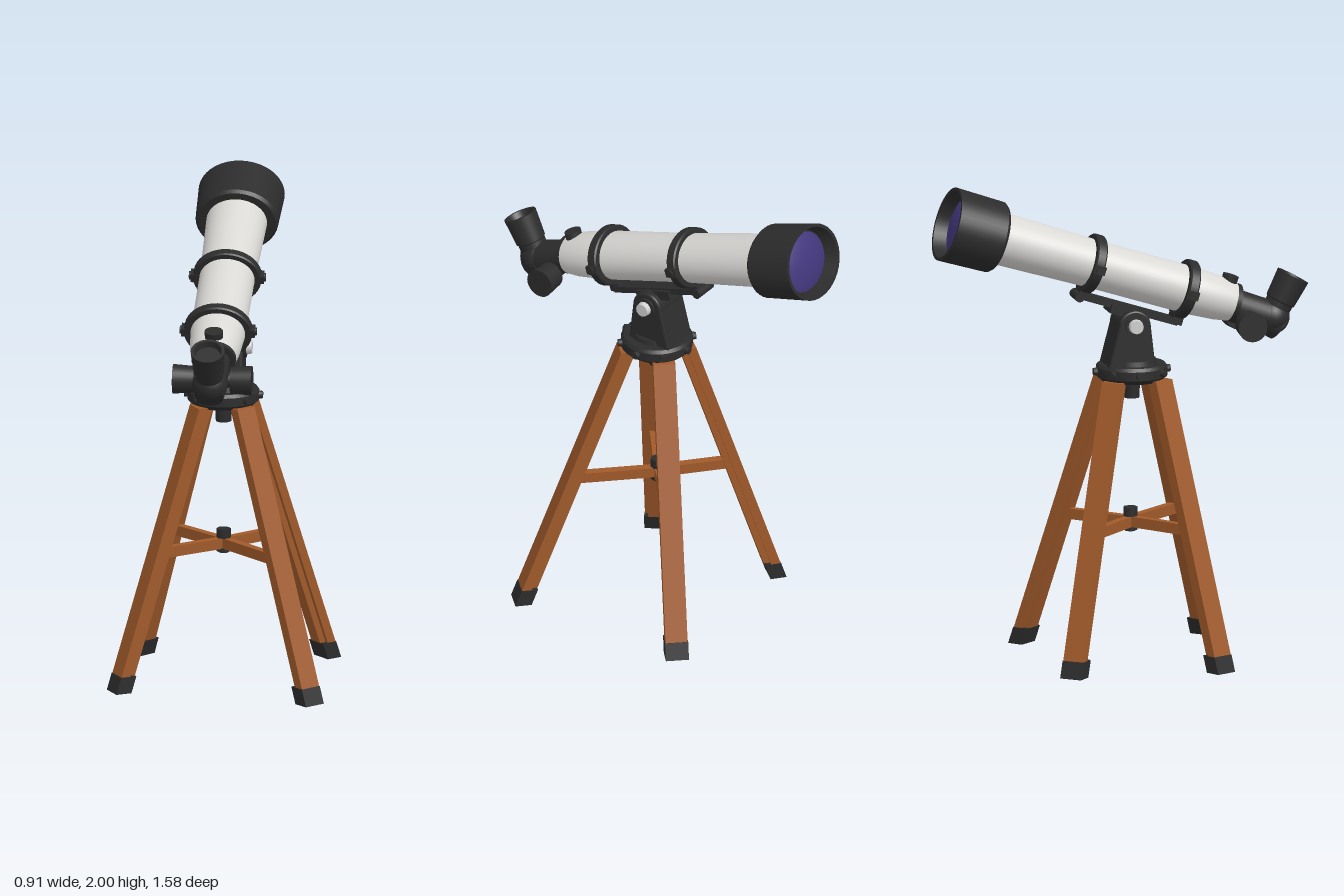
import * as THREE from 'three';

const mat = (name, color, double) => {
  const m = new THREE.MeshStandardMaterial({ color });
  m.name = name;
  if (double) m.side = THREE.DoubleSide;
  return m;
};

export function createModel() {
  const black = mat('black', 0x2c2c2d, true);
  const white = mat('white', 0xdad8d5, true);
  const wood = mat('wood', 0xa05a2a);
  const lensBlue = mat('lens violet', 0x43387e);
  const silver = mat('silver', 0xcfcfcf);
  const model = new THREE.Group();
  const V = (x, y, z) => new THREE.Vector3(x, y, z);

  const add = (parent, name, geo, material, x = 0, y = 0, z = 0) => {
    const mesh = new THREE.Mesh(geo, material);
    mesh.name = name;
    mesh.position.set(x, y, z);
    parent.add(mesh);
    return mesh;
  };
  // Lathe from [radius, height] pairs; each segment keeps its own normals for crisp edges
  const lathe = (parent, name, pts, material) => {
    const group = new THREE.Group();
    group.name = name;
    for (let i = 0; i < pts.length - 1; i++) {
      const seg = [pts[i], pts[i + 1]].map(p => new THREE.Vector2(...p));
      add(group, name + 'Band', new THREE.LatheGeometry(seg, 40), material);
    }
    parent.add(group);
    return group;
  };
  // Cylinder running from a to b
  const rod = (parent, name, a, b, ra, rb, material, sides = 28) => {
    const d = b.clone().sub(a);
    const mesh = add(parent, name, new THREE.CylinderGeometry(rb, ra, d.length(), sides), material);
    mesh.position.copy(a).add(b).multiplyScalar(0.5);
    mesh.quaternion.setFromUnitVectors(V(0, 1, 0), d.normalize());
    return mesh;
  };

  // ---- Optical tube: local y points forward along the axis, local z points up ----
  const tilt = 0.309;
  const scope = new THREE.Group();
  scope.name = 'opticalTube';
  scope.position.set(0, 1.615, 0);
  scope.rotation.x = tilt - Math.PI / 2;
  scope.scale.x = 1.15;
  model.add(scope);

  const tubePts = [[0.078, -0.49], [0.09, -0.42], [0.098, -0.3], [0.099, 0.1], [0.103, 0.3], [0.11, 0.6]];
  add(scope, 'mainTube', new THREE.LatheGeometry(tubePts.map(p => new THREE.Vector2(...p)), 40), white);
  lathe(scope, 'dewShield', [[0.1, 0.565], [0.138, 0.565], [0.149, 0.578], [0.155, 0.79],
    [0.142, 0.79], [0.128, 0.735], [0, 0.735]], black);
  add(scope, 'lens', new THREE.SphereGeometry(0.3, 36, 8, 0, Math.PI * 2, 0, 0.42), lensBlue, 0, 0.465, 0);
  lathe(scope, 'tubeEnd', [[0, -0.495], [0.079, -0.495], [0.081, -0.475], [0.07, -0.475]], black);

  // Clamp rings with side bolts and feet
  for (const s of [-0.268, 0.147]) {
    lathe(scope, 'clampRing', [[0.096, s - 0.022], [0.118, s - 0.022], [0.123, s - 0.016],
      [0.123, s + 0.016], [0.118, s + 0.022], [0.096, s + 0.022]], black);
    for (const side of [-1, 1]) {
      rod(scope, 'ringBolt', V(side * 0.11, s, 0), V(side * 0.138, s, 0), 0.017, 0.017, black, 12);
      add(scope, 'ringHinge', new THREE.BoxGeometry(0.02, 0.05, 0.035), black, side * 0.122, s, 0);
    }
    add(scope, 'ringFoot', new THREE.BoxGeometry(0.07, 0.044, 0.05), black, 0, s, -0.122);
  }
  // Dovetail bar and its clamp
  add(scope, 'dovetailBar', new THREE.BoxGeometry(0.075, 0.44, 0.026), black, 0, -0.05, -0.138);
  add(scope, 'saddle', new THREE.BoxGeometry(0.1, 0.17, 0.04), black, 0, -0.06, -0.152);
  rod(scope, 'barStop', V(-0.045, 0.165, -0.143), V(0.045, 0.165, -0.143), 0.02, 0.02, black, 16);
  // Small lock knob on top of the tube
  rod(scope, 'lockKnob', V(0, -0.44, 0.07), V(0, -0.44, 0.107), 0.033, 0.033, black, 20);

  // ---- Focuser, elbow and eyepiece ----
  const elbow = V(0, 1.4, 0.625);
  rod(model, 'drawTube', V(0, 1.455, 0.46), V(0, 1.405, 0.6), 0.07, 0.068, black);
  rod(model, 'focusShaft', V(-0.1, 1.39, 0.505), V(0.1, 1.39, 0.505), 0.03, 0.03, black);
  for (const side of [-1, 1]) {
    rod(model, 'focusKnob', V(side * 0.075, 1.39, 0.505), V(side * 0.163, 1.39, 0.505), 0.055, 0.061, black);
  }
  add(model, 'elbow', new THREE.SphereGeometry(0.073, 28, 18), black, ...elbow.toArray());
  rod(model, 'elbowCap', V(0, 1.4, 0.6), V(0, 1.355, 0.655), 0.07, 0.06, black);
  const eyepiece = lathe(model, 'eyepiece', [[0.055, 0], [0.058, 0.07], [0.063, 0.075], [0.07, 0.19],
    [0.058, 0.19], [0.05, 0.165], [0, 0.165]], black);
  eyepiece.position.copy(elbow);
  eyepiece.rotation.x = 0.49;

  // ---- Mount, centred slightly towards the front ----
  const mount = new THREE.Group();
  mount.name = 'mount';
  mount.position.z = 0.03;
  model.add(mount);

  // Pedestal: rounded side profile drawn in (z, y) and extruded across x
  const profile = new THREE.Shape();
  profile.moveTo(0.075, 1.23);
  profile.lineTo(0.055, 1.4);
  profile.absarc(-0.005, 1.4, 0.06, 0, Math.PI, false);
  profile.lineTo(-0.11, 1.23);
  const pedestal = new THREE.ExtrudeGeometry(profile,
    { depth: 0.15, bevelEnabled: true, bevelSize: 0.008, bevelThickness: 0.01, bevelSegments: 2, curveSegments: 16 });
  pedestal.rotateY(-Math.PI / 2).translate(0.075, 0, 0);
  add(mount, 'pedestal', pedestal, black);
  for (const side of [-1, 1]) {
    rod(mount, 'pivotCollar', V(side * 0.07, 1.405, -0.005), V(side * 0.096, 1.405, -0.005), 0.043, 0.043, black);
    rod(mount, 'pivotBolt', V(side * 0.09, 1.405, -0.005), V(side * 0.118, 1.405, -0.005), 0.032, 0.028, silver, 12);
  }
  lathe(mount, 'headPlate', [[0, 1.165], [0.125, 1.165], [0.148, 1.185], [0.148, 1.222], [0.138, 1.235], [0, 1.235]], black);
  lathe(mount, 'turntable', [[0.105, 1.235], [0.1, 1.255], [0, 1.255]], black);
  for (let i = 0; i < 8; i++) {
    const a = i * Math.PI / 4, c = Math.cos(a), s = Math.sin(a);
    rod(mount, 'headBolt', V(c * 0.14, 1.205, s * 0.14), V(c * 0.163, 1.205, s * 0.163), 0.018, 0.015, black, 10);
  }
  rod(mount, 'centreScrew', V(0, 1.09, 0), V(0, 1.17, 0), 0.032, 0.036, black, 16);

  // ---- Tripod with four splayed legs ----
  // A box turned to face outwards, then sheared along the leg so its ends stay level
  const legPiece = (leg, name, y0, y1, width, thick, inset, material) => {
    const geo = new THREE.BoxGeometry(thick, y1 - y0, width);
    geo.translate(-inset, (y0 + y1) / 2, 0).rotateY(-leg.angle);
    const p = geo.attributes.position;
    for (let i = 0; i < p.count; i++) {
      const t = p.getY(i) / 1.17;
      p.setX(i, p.getX(i) + THREE.MathUtils.lerp(leg.foot[0], leg.top[0], t));
      p.setZ(i, p.getZ(i) + THREE.MathUtils.lerp(leg.foot[1], leg.top[1], t));
    }
    geo.computeVertexNormals();
    add(model, name, geo, material);
  };
  const feet = [[-0.375, -0.305], [0.395, -0.34], [-0.405, 0.31], [0.395, 0.435]];
  for (const foot of feet) {
    const top = [Math.sign(foot[0]) * 0.083, 0.033 + Math.sign(foot[1]) * 0.093];
    const leg = { foot, top, angle: Math.atan2(foot[1] - top[1], foot[0] - top[0]) };
    legPiece(leg, 'leg', 0.07, 1.175, 0.092, 0.04, -0.012, wood);
    legPiece(leg, 'legRib', 0.07, 1.165, 0.06, 0.032, 0.02, wood);
    legPiece(leg, 'foot', 0, 0.07, 0.096, 0.068, 0, black);
    // Spreader bar from the centre hub to the leg
    const t = 0.57 / 1.17;
    const end = V(THREE.MathUtils.lerp(foot[0], top[0], t), 0.57, THREE.MathUtils.lerp(foot[1], top[1], t));
    const start = V(0, 0.57, 0.025);
    const d = end.clone().sub(start);
    const bar = add(model, 'spreaderBar', new THREE.BoxGeometry(d.length(), 0.044, 0.034), wood);
    bar.position.copy(start).add(end).multiplyScalar(0.5);
    bar.rotation.y = -Math.atan2(d.z, d.x);
  }
  rod(model, 'spreaderHub', V(0, 0.53, 0.025), V(0, 0.615, 0.025), 0.022, 0.022, black, 16);
  rod(model, 'spreaderNut', V(0, 0.592, 0.025), V(0, 0.63, 0.025), 0.03, 0.03, black, 8);
  rod(model, 'spreaderWasher', V(0, 0.535, 0.025), V(0, 0.55, 0.025), 0.03, 0.03, black, 16);

  return model;
}
